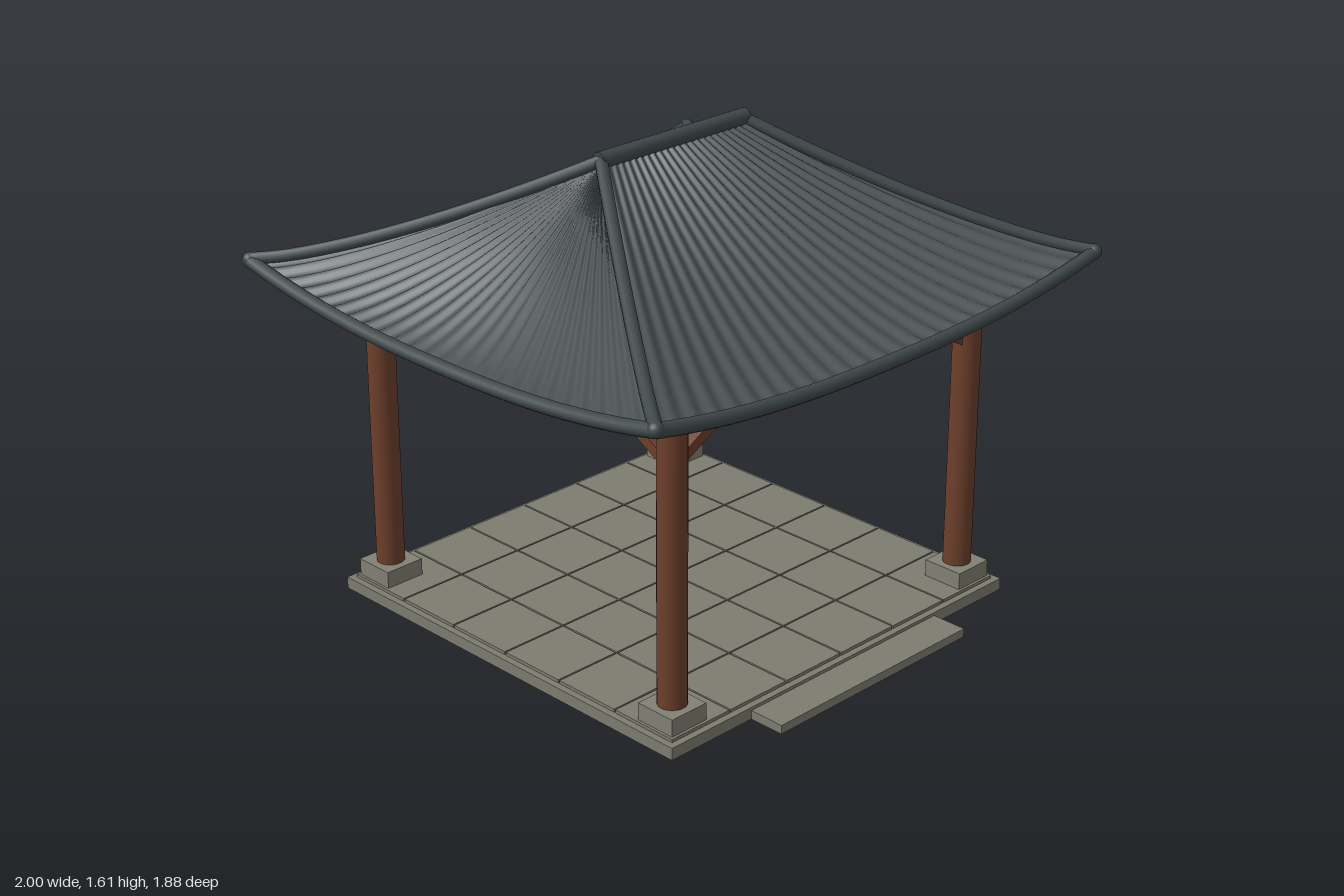
import * as THREE from 'three';
import { ParametricGeometry } from 'three/addons/geometries/ParametricGeometry.js';

const mat = (name, color, side = THREE.FrontSide) => {
  const m = new THREE.MeshStandardMaterial({ color, side });
  m.name = name;
  return m;
};

export function createModel() {
  const tile = mat('slate roof tile', 0x485052, THREE.DoubleSide);
  const trim = mat('dark roof trim', 0x3f484a);
  const wood = mat('red brown timber', 0x6d3f2b);
  const ceilingWood = mat('dark ceiling timber', 0x4f362b, THREE.DoubleSide);
  const stone = mat('paving stone', 0x7d7c70);
  const plinthStone = mat('plinth stone', 0x808074);

  const model = new THREE.Group();
  model.name = 'pavilion';

  const add = (parent, name, geometry, material, x = 0, y = 0, z = 0) => {
    const mesh = new THREE.Mesh(geometry, material);
    mesh.name = name;
    mesh.position.set(x, y, z);
    parent.add(mesh);
    return mesh;
  };
  // Box given by its size and the height of its underside
  const box = (parent, name, w, h, d, material, x, y, z) =>
    add(parent, name, new THREE.BoxGeometry(w, h, d), material, x, y + h / 2, z);
  const group = (name) => {
    const g = new THREE.Group();
    g.name = name;
    model.add(g);
    return g;
  };

  // Stone platform, front step and paving
  const platform = group('platform');
  box(platform, 'baseSlab', 1.54, 0.041, 1.54, stone, 0, 0, 0);
  box(platform, 'frontStep', 0.86, 0.03, 0.13, stone, 0, 0, 0.83);
  const count = 6, pitch = 1.5 / count;
  for (let i = 0; i < count; i++) {
    for (let j = 0; j < count; j++) {
      box(platform, 'pavingTile', pitch - 0.006, 0.012, pitch - 0.006, stone,
        (i - (count - 1) / 2) * pitch, 0.04, (j - (count - 1) / 2) * pitch);
    }
  }

  // Columns on plinths with bracket blocks
  const C = 0.665;
  const columns = group('columns');
  for (const sx of [-1, 1]) {
    for (const sz of [-1, 1]) {
      const x = sx * C, z = sz * C;
      box(columns, 'plinth', 0.145, 0.06, 0.145, plinthStone, x, 0.05, z);
      add(columns, 'column', new THREE.CylinderGeometry(0.047, 0.047, 0.95, 24), wood, x, 0.585, z);
      box(columns, 'bracketBlock', 0.14, 0.075, 0.14, wood, x, 1.035, z);
    }
  }

  // Beams and diagonal braces, the same on all four sides
  for (let k = 0; k < 4; k++) {
    const frame = group('beamFrame');
    frame.rotation.y = k * Math.PI / 2;
    box(frame, 'upperBeam', 1.54, 0.068, 0.07, wood, 0, 1.04, C);
    box(frame, 'lowerBeam', 2 * C, 0.032, 0.05, wood, 0, 1.0, C);
    for (let i = -3; i <= 3; i++) {
      box(frame, 'spacer', 0.1, 0.014, 0.045, wood, i * 0.15, 1.03, C);
    }
    for (const s of [-1, 1]) {
      const dx = 0.2, dy = 0.11;
      const brace = add(frame, 'brace', new THREE.BoxGeometry(Math.hypot(dx, dy), 0.034, 0.035),
        wood, s * 0.54, 0.965, C);
      brace.rotation.z = -s * Math.atan2(dy, dx);
    }
  }

  // Roof slope: s runs -1..1 along the eave, v runs 0..1 from ridge to eave
  const ridgeY = 1.57, eaveY = 1.1;
  const slopePoint = (d, s, v, out = new THREE.Vector3()) => {
    const edge = eaveY + 0.085 * Math.pow(Math.abs(s), 2.4);
    return out.set(
      s * THREE.MathUtils.lerp(d.ridgeHalf, d.eaveHalf, v),
      edge + (ridgeY - edge) * Math.pow(1 - v, 1.35),
      THREE.MathUtils.lerp(d.ridgeOut, d.eaveOut, v));
  };
  const front = { ridgeHalf: 0.31, eaveHalf: 0.975, ridgeOut: 0, eaveOut: 0.915 };
  const side = { ridgeHalf: 0, eaveHalf: 0.915, ridgeOut: 0.31, eaveOut: 0.975 };
  const waves = 24;

  [front, side, front, side].forEach((d, k) => {
    const slope = group('roofSlope');
    slope.rotation.y = k * Math.PI / 2;

    // Corrugated tiles
    const tiles = new ParametricGeometry((u, v, p) => {
      const s = 1 - 2 * u;
      slopePoint(d, s, v, p);
      const fade = d.ridgeHalf ? 1 : Math.min(1, v * 3);
      p.y += 0.006 * fade * Math.cos(s * waves * Math.PI);
    }, waves * 6, 14);
    tiles.computeVertexNormals();
    add(slope, 'roofTiles', tiles, tile);

    // Plain timber lining below
    const lining = new ParametricGeometry((u, v, p) => {
      slopePoint(d, 2 * u - 1, v, p);
      p.y -= 0.018;
    }, 16, 10);
    lining.computeVertexNormals();
    add(slope, 'roofLining', lining, ceilingWood);

    // Rounded eave edge
    const eave = [];
    for (let i = -10; i <= 10; i++) eave.push(slopePoint(d, i / 10, 1));
    add(slope, 'eaveTrim',
      new THREE.TubeGeometry(new THREE.CatmullRomCurve3(eave), 48, 0.023, 10), trim);

    // One hip rib and its corner cap per slope
    const hip = [];
    for (let i = 0; i <= 10; i++) {
      const p = slopePoint(d, 1, i / 10);
      p.y += 0.006;
      hip.push(p);
    }
    add(slope, 'hipRib',
      new THREE.TubeGeometry(new THREE.CatmullRomCurve3(hip), 32, 0.021, 10), trim);
    const corner = hip[hip.length - 1];
    add(slope, 'cornerCap', new THREE.SphereGeometry(0.025, 14, 10), trim, corner.x, corner.y - 0.003, corner.z);
  });

  // Ridge roll
  const ridge = add(model, 'ridge', new THREE.CylinderGeometry(0.028, 0.028, 0.64, 16), trim, 0, 1.578, 0);
  ridge.rotation.z = Math.PI / 2;

  return model;
}
